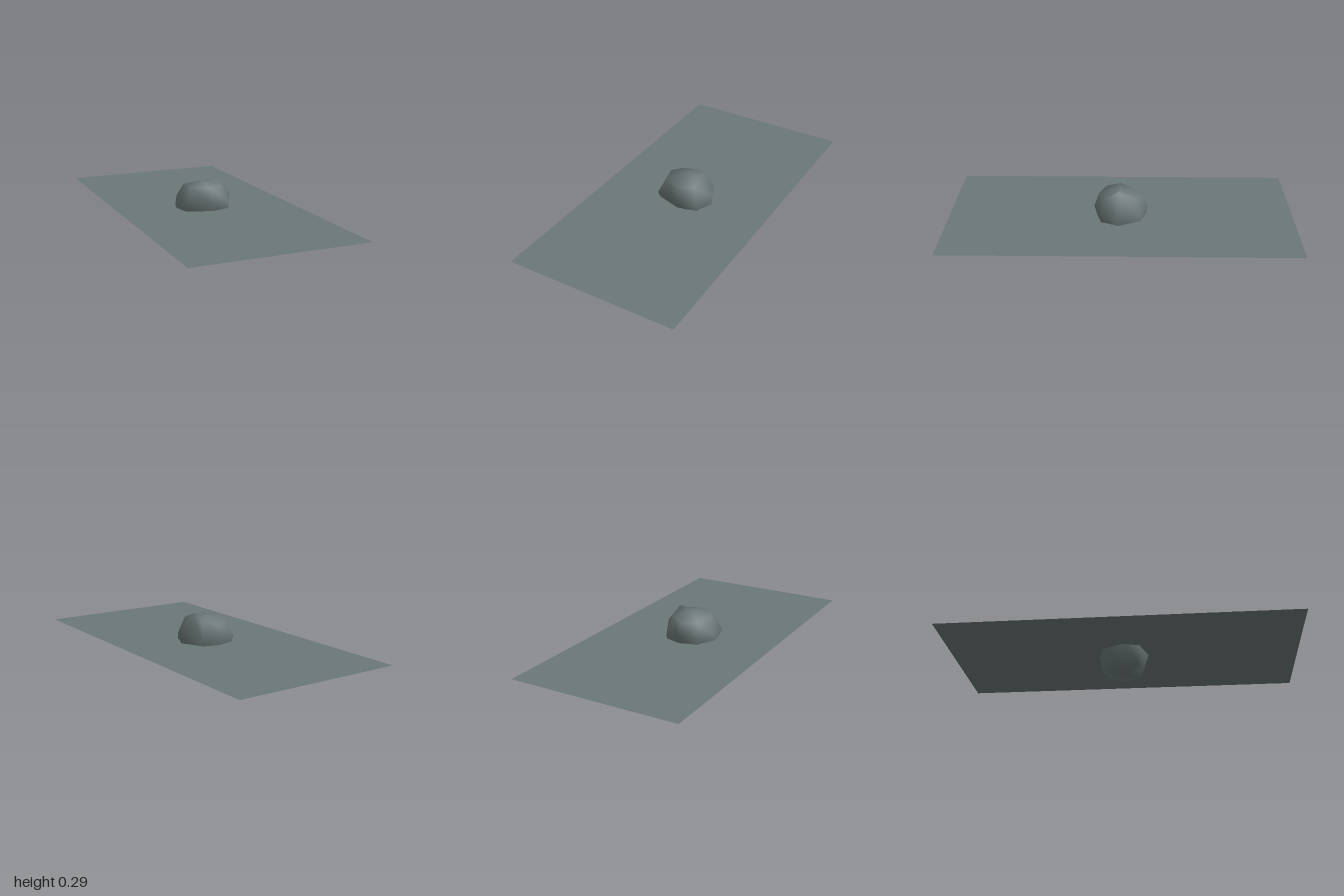
import * as THREE from 'three';

const stoneGrey = new THREE.MeshStandardMaterial({ color: 0x6b7777, side: THREE.DoubleSide });
stoneGrey.name = 'stoneGrey';

// Irregular boulder: three rings of eight points between a top and a bottom pole
function boulderGeometry() {
  const top = [0, 0.272, 0];
  const bottom = [0, 0, 0];
  // Each ring runs from +x towards +z
  const rings = [
    [[0.08, 0.287, 0.01], [0.085, 0.25, 0.09], [0, 0.25, 0.125], [-0.1, 0.25, 0.08],
      [-0.12, 0.255, 0], [-0.085, 0.235, -0.085], [0, 0.23, -0.12], [0.08, 0.25, -0.085]],
    [[0.167, 0.18, 0.02], [0.115, 0.15, 0.12], [0, 0.165, 0.155], [-0.15, 0.15, 0.1],
      [-0.167, 0.138, -0.005], [-0.11, 0.16, -0.13], [0, 0.17, -0.158], [0.1, 0.14, -0.12]],
    [[0.145, 0.012, 0], [0.125, 0.032, 0.09], [0, 0.026, 0.11], [-0.1, 0.02, 0.085],
      [-0.125, 0.014, 0], [-0.085, 0.012, -0.09], [0, 0.007, -0.125], [0.1, 0.012, -0.09]],
  ];
  const n = 8;
  const positions = [top, ...rings.flat(), bottom].flat();
  const last = 1 + rings.length * n;
  const at = (ring, i) => 1 + ring * n + (i % n);
  const index = [];
  for (let i = 0; i < n; i++) {
    index.push(0, at(0, i + 1), at(0, i));
    for (let r = 0; r < rings.length - 1; r++) {
      index.push(at(r, i), at(r, i + 1), at(r + 1, i));
      index.push(at(r, i + 1), at(r + 1, i + 1), at(r + 1, i));
    }
    index.push(last, at(2, i), at(2, i + 1));
  }
  const geometry = new THREE.BufferGeometry();
  geometry.setAttribute('position', new THREE.Float32BufferAttribute(positions, 3));
  geometry.setIndex(index);
  geometry.computeVertexNormals();
  return geometry;
}

export function createModel() {
  const model = new THREE.Group();
  model.name = 'boulderOnGround';

  // Flat sheet that cuts through the boulder just below its middle
  const sheet = new THREE.Mesh(new THREE.PlaneGeometry(1, 2), stoneGrey);
  sheet.name = 'groundSheet';
  sheet.rotation.x = -Math.PI / 2;
  sheet.position.y = 0.117;

  const boulder = new THREE.Mesh(boulderGeometry(), stoneGrey);
  boulder.name = 'boulder';

  model.add(sheet, boulder);
  return model;
}
